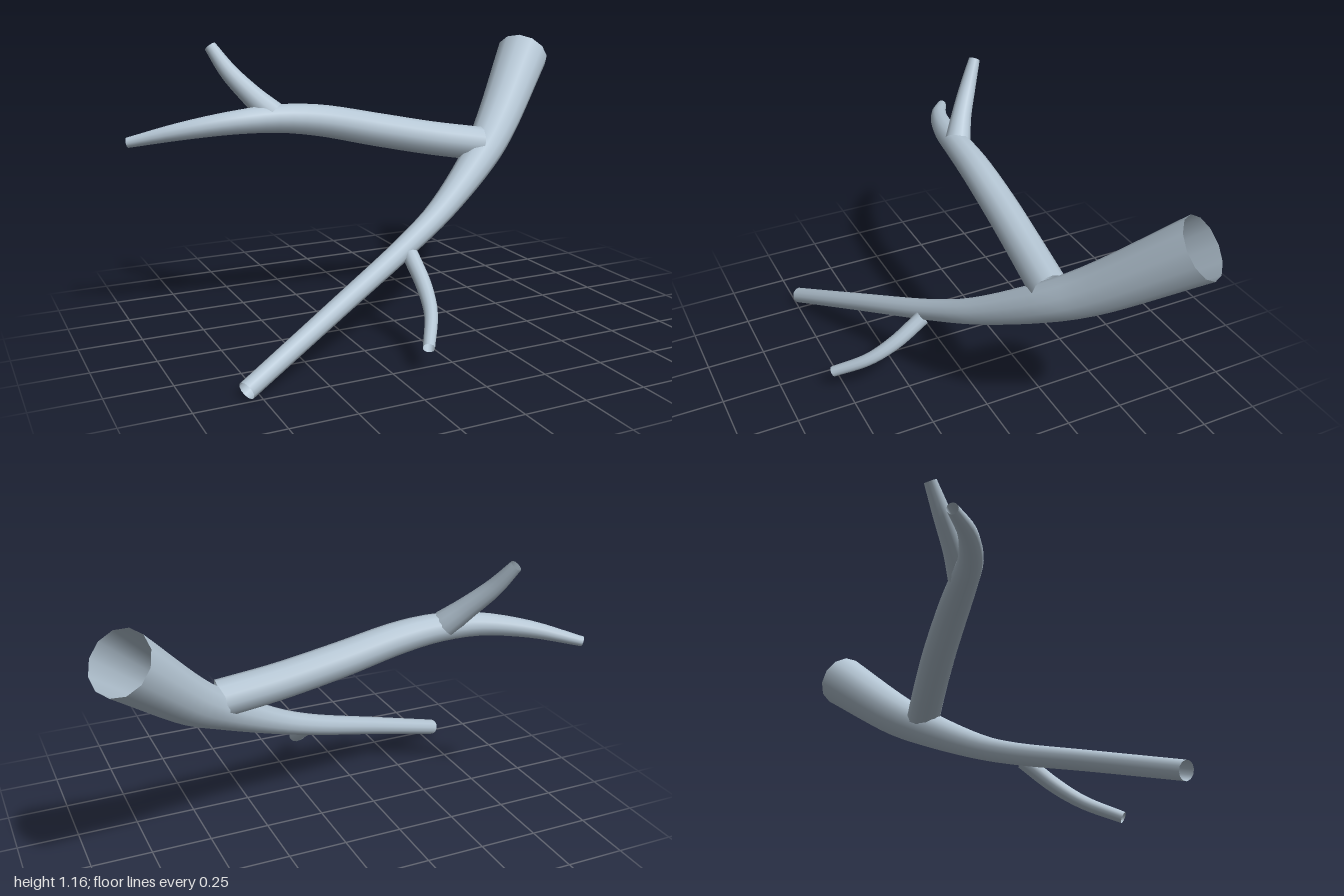
import * as THREE from 'three';

const SIDES = 12;

// Open tapered tube; each row is x, y, z, radius
function taperedLimb(name, rows, steps, material) {
  const curve = new THREE.CatmullRomCurve3(rows.map(([x, y, z]) => new THREE.Vector3(x, y, z)), false, 'centripetal');
  const radii = new THREE.CatmullRomCurve3(rows.map((r) => new THREE.Vector3(r[3], 0, 0)), false, 'catmullrom', 0.5);
  const geometry = new THREE.TubeGeometry(curve, steps, 1, SIDES, false);
  const pos = geometry.attributes.position;
  const lengths = curve.getLengths(200);
  const centre = new THREE.Vector3();
  const v = new THREE.Vector3();
  for (let i = 0; i <= steps; i++) {
    const u = i / steps;
    curve.getPointAt(u, centre);
    // Radius follows the same curve parameter as the centre line
    const radius = radii.getPoint(curve.getUtoTmapping(u)).x;
    for (let j = 0; j <= SIDES; j++) {
      const k = i * (SIDES + 1) + j;
      v.fromBufferAttribute(pos, k).sub(centre).multiplyScalar(radius).add(centre);
      pos.setXYZ(k, v.x, v.y, v.z);
    }
  }
  geometry.computeBoundingSphere();
  const mesh = new THREE.Mesh(geometry, material);
  mesh.name = name;
  return mesh;
}

export function createModel() {
  const bark = new THREE.MeshStandardMaterial({ color: 0xb4c5d3, side: THREE.DoubleSide });
  bark.name = 'paleBark';

  const group = new THREE.Group();
  group.name = 'branch';

  // Main stem, thick end high at the back left
  group.add(taperedLimb('mainStem', [
    [0.905, 1.05, -0.457, 0.12],
    [0.62, 0.765, -0.225, 0.094],
    [0.48, 0.655, -0.12, 0.079],
    [0.2, 0.475, 0.04, 0.055],
    [0, 0.375, 0.13, 0.046],
    [-0.4, 0.207, 0.305, 0.04],
    [-0.802, 0.038, 0.478, 0.036],
  ], 32, bark));

  // Long side limb
  group.add(taperedLimb('upperLimb', [
    [0.478, 0.703, -0.135, 0.074],
    [0.25, 0.742, -0.158, 0.072],
    [0, 0.795, -0.175, 0.07],
    [-0.25, 0.85, -0.182, 0.065],
    [-0.42, 0.868, -0.188, 0.058],
    [-0.6, 0.862, -0.206, 0.048],
    [-0.8, 0.832, -0.27, 0.036],
    [-0.99, 0.785, -0.372, 0.021],
  ], 28, bark));

  // Fork rising from the side limb
  group.add(taperedLimb('upperTwig', [
    [-0.445, 0.885, -0.198, 0.056],
    [-0.51, 0.955, -0.245, 0.045],
    [-0.585, 1.05, -0.312, 0.036],
    [-0.64, 1.15, -0.372, 0.025],
  ], 14, bark));

  // Small drooping twig
  group.add(taperedLimb('lowerTwig', [
    [-0.013, 0.342, 0.174, 0.033],
    [-0.017, 0.25, 0.3, 0.031],
    [-0.045, 0.178, 0.41, 0.027],
    [-0.125, 0.1, 0.545, 0.023],
  ], 14, bark));

  return group;
}
